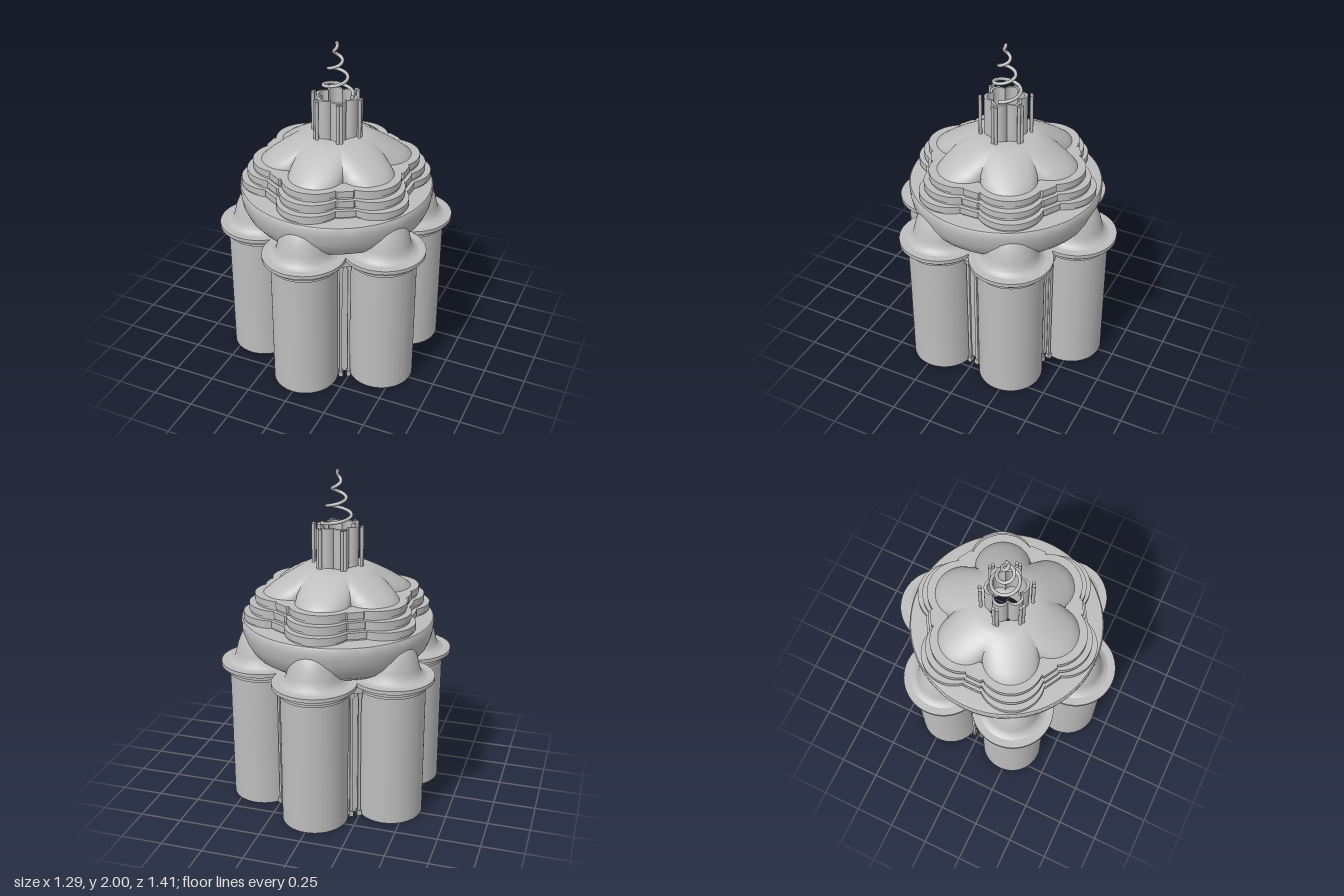
import * as THREE from 'three';
import { toCreasedNormals } from 'three/addons/utils/BufferGeometryUtils.js';

const SIXTH = Math.PI / 3;

export function createModel() {
  const stone = new THREE.MeshStandardMaterial({ color: 0xbdbdbd, side: THREE.DoubleSide });
  stone.name = 'pale grey stone';
  const model = new THREE.Group();
  model.name = 'pavilion';

  const add = (parent, geometry, name) => {
    const mesh = new THREE.Mesh(geometry, stone);
    mesh.name = name;
    parent.add(mesh);
    return mesh;
  };

  // Extrudes a plan shape upwards from y0 to y1, smooth round the curves
  const raise = (shape, y0, y1) => {
    const g = new THREE.ExtrudeGeometry(shape, { depth: y1 - y0, bevelEnabled: false, curveSegments: 48 });
    g.rotateX(-Math.PI / 2).translate(0, y0, 0);
    return toCreasedNormals(g, 0.6);
  };

  const lathe = (points, segments = 96) => {
    const curve = new THREE.LatheGeometry(points.map(p => new THREE.Vector2(p[0], p[1])), segments);
    return toCreasedNormals(curve, 0.7);
  };

  // Radius of a six-lobed plan at angle a, with optional square blocks in the notches
  const lobedRadius = (a, c, r, block = 0) => {
    const notch = a - Math.round(a / SIXTH) * SIXTH;
    const phi = SIXTH / 2 - Math.abs(notch);
    let radius = c * Math.cos(phi) + Math.sqrt(Math.max(0, r * r - (c * Math.sin(phi)) ** 2));
    if (block && Math.abs(notch) < Math.atan(0.05 / block)) radius = Math.max(radius, block / Math.cos(notch));
    return radius;
  };

  const lobedPoints = (c, r, block, turn = 0) => {
    const pts = [];
    for (let i = 0; i < 360; i++) {
      const a = i * Math.PI / 180;
      const R = lobedRadius(a + turn, c, r, block);
      pts.push(new THREE.Vector2(R * Math.cos(a), R * Math.sin(a)));
    }
    return pts;
  };

  // Horseshoe plan, open towards the centre of the building
  const horseshoe = (outer, inner, half) => {
    const s = new THREE.Shape();
    s.absarc(0, 0, outer, -half, half, false);
    s.absarc(0, 0, inner, half, -half, true);
    s.closePath();
    return s;
  };

  // Six apses: hollow curved walls, mouldings, cornice and half dome
  const half = 2.2;
  const wall = raise(horseshoe(0.195, 0.158, half), 0, 0.81);
  const moulding = raise(horseshoe(0.203, 0.158, half), 0.81, 0.828);
  const band = raise(horseshoe(0.212, 0.158, half), 0.828, 0.857);
  const cornice = raise(horseshoe(0.245, 0.158, half), 0.857, 0.88);
  const cap = lathe([[0.2, 0.88], [0.178, 0.89], [0.163, 0.91], [0.155, 0.94], [0.143, 0.99],
    [0.123, 1.04], [0.095, 1.085], [0.055, 1.115], [0, 1.125]], 48);
  for (let i = 0; i < 6; i++) {
    const bay = new THREE.Group();
    bay.name = 'apseBay';
    bay.rotation.y = (i + 0.5) * SIXTH;
    const apse = new THREE.Group();
    apse.name = 'apse';
    apse.position.x = 0.46;
    add(apse, wall, 'apseWall');
    add(apse, moulding, 'apseMoulding');
    add(apse, band, 'apseBand');
    add(apse, cornice, 'apseCornice');
    add(apse, cap, 'apseHalfDome');
    bay.add(apse);
    model.add(bay);
  }

  // Piers with slender twin posts between the apses
  const box = (w, h, d, x, y, z) => new THREE.BoxGeometry(w, h, d).translate(x, y, z);
  for (let i = 0; i < 6; i++) {
    const pier = new THREE.Group();
    pier.name = 'pier';
    pier.rotation.y = i * SIXTH;
    add(pier, box(0.05, 0.87, 0.08, 0.385, 0.435, 0), 'pierWall');
    add(pier, box(0.1, 0.07, 0.09, 0.42, 0.845, 0), 'pierLintel');
    for (const side of [-1, 1]) {
      add(pier, box(0.018, 0.81, 0.016, 0.447, 0.405, side * 0.024), 'post');
      add(pier, box(0.03, 0.035, 0.026, 0.447, 0.0175, side * 0.024), 'postBase');
      add(pier, box(0.03, 0.03, 0.026, 0.447, 0.795, side * 0.024), 'postCapital');
    }
    model.add(pier);
  }

  // Bowl-shaped drum
  add(model, lathe([[0.34, 0.865], [0.41, 0.875], [0.46, 0.892], [0.505, 0.922], [0.54, 0.965],
    [0.562, 1.015], [0.573, 1.07], [0.575, 1.12], [0.568, 1.13], [0.535, 1.133], [0.345, 1.133]]), 'drum');

  // Three scalloped steps, each with a projecting lip
  const steps = [[0.37, 0.47, 1.13, 1.182], [0.335, 0.455, 1.182, 1.236], [0.30, 0.44, 1.236, 1.29]];
  const hole = new THREE.Path().absarc(0, 0, 0.34, 0, Math.PI * 2, true);
  for (const [c, block, y0, y1] of steps) {
    const body = new THREE.Shape(lobedPoints(c, 0.187, block - 0.008));
    const lip = new THREE.Shape(lobedPoints(c, 0.193, block));
    body.holes.push(hole);
    lip.holes.push(hole);
    add(model, raise(body, y0, y1 - 0.04), 'scallopedStep');
    add(model, raise(lip, y1 - 0.04, y1), 'scallopedStepLip');
  }

  // Upper dome: scalloped at its foot, blending to a circle round the oculus
  const rows = [[1.24, 1, 1], [1.29, 0.96, 0.9], [1.325, 0.88, 0.65], [1.365, 0.755, 0.4], [1.4, 0.62, 0.2],
    [1.425, 0.5, 0.06], [1.438, 0.4, 0], [1.44, 0.26, 0]];
  const columns = 180, position = [], index = [];
  rows.forEach(([y, k, blend], j) => {
    for (let i = 0; i <= columns; i++) {
      const a = i / columns * Math.PI * 2;
      const R = k * THREE.MathUtils.lerp(0.42, lobedRadius(a, 0.30, 0.165), blend);
      position.push(R * Math.cos(a), y, -R * Math.sin(a));
      if (j && i) {
        const q = j * (columns + 1) + i, p = q - columns - 1;
        index.push(p - 1, p, q, p - 1, q, q - 1);
      }
    }
  });
  const dome = new THREE.BufferGeometry();
  dome.setAttribute('position', new THREE.Float32BufferAttribute(position, 3));
  dome.setIndex(index);
  add(model, toCreasedNormals(dome, 0.8), 'upperDome');

  // Hollow flower-shaped lantern with paired rods
  const lantern = new THREE.Shape(lobedPoints(0.08, 0.045, 0, SIXTH / 2));
  lantern.holes.push(new THREE.Path(lobedPoints(0.068, 0.04, 0, SIXTH / 2)));
  add(model, raise(lantern, 1.425, 1.675), 'lantern');
  for (let i = 0; i < 6; i++) {
    const rods = new THREE.Group();
    rods.name = 'lanternRods';
    rods.rotation.y = i * SIXTH;
    for (const side of [-1, 1]) {
      add(rods, new THREE.CylinderGeometry(0.01, 0.01, 0.245, 12).translate(0.147, 1.5525, side * 0.01), 'rod');
    }
    model.add(rods);
  }

  // Tapering spiral finial
  const path = [];
  for (let i = 0; i <= 80; i++) {
    const t = i / 80, a = t * Math.PI * 2 * 3.1, R = 0.095 * (1 - t);
    path.push(new THREE.Vector3(R * Math.cos(a), 1.68 + 0.315 * t, -R * Math.sin(a)));
  }
  add(model, new THREE.TubeGeometry(new THREE.CatmullRomCurve3(path), 240, 0.01, 10), 'spiralFinial');
  add(model, new THREE.SphereGeometry(0.01, 12, 8).translate(0, 1.99, 0), 'finialTip');

  return model;
}
